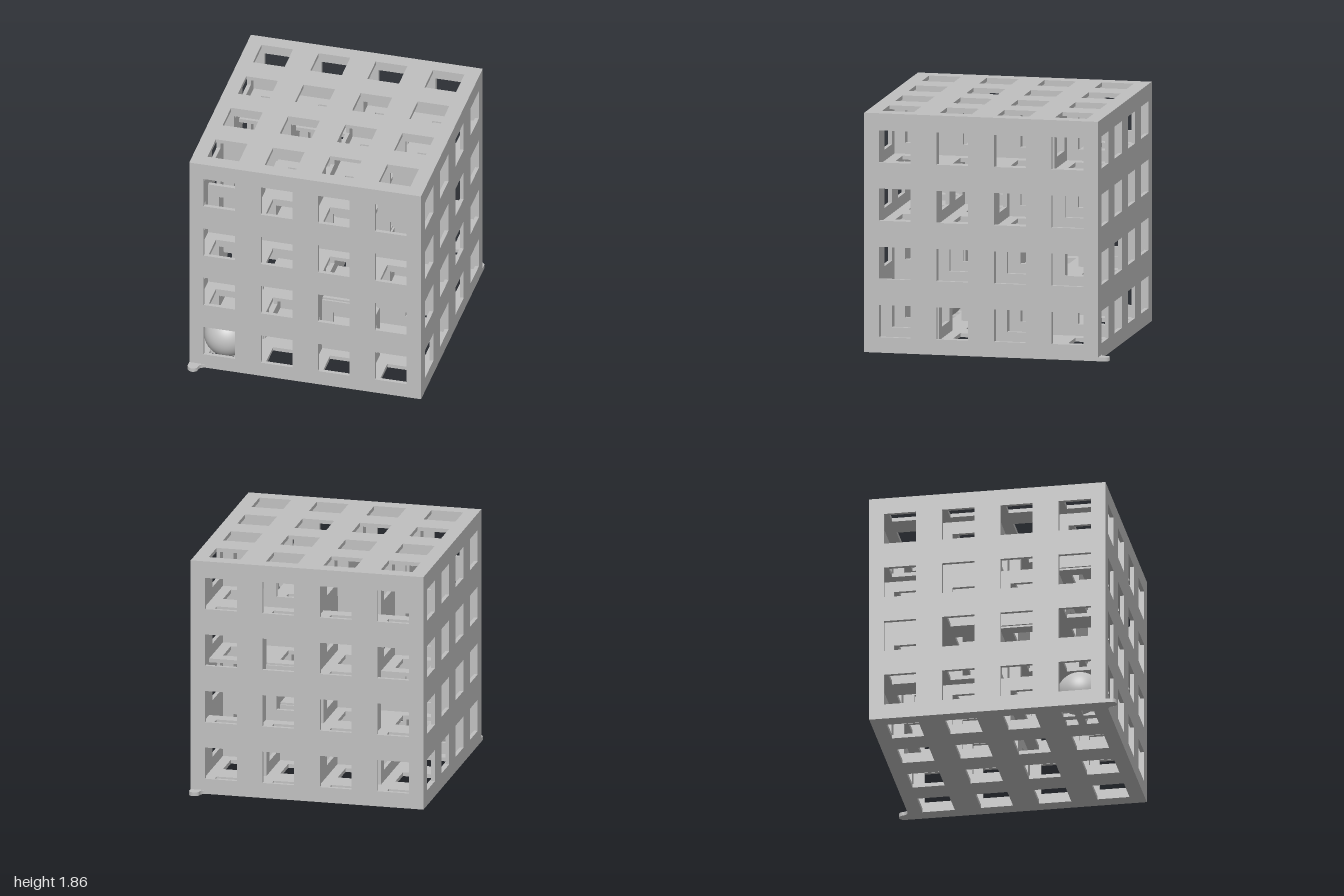
import * as THREE from 'three';

const N = 4, PITCH = 0.4525, HOLE = 0.25, T = 0.03, HALF = 0.918, TOP = 1.86;
const MID_Y = 0.924; // height of the middle of the cell lattice
const centre = i => (i - (N - 1) / 2) * PITCH;

// Flat panel in XY, centred in thickness, with square windows
function panel(w, h, holes) {
  const rect = (P, x, y, a, b) => {
    const p = new P();
    p.moveTo(x - a / 2, y - b / 2).lineTo(x + a / 2, y - b / 2);
    p.lineTo(x + a / 2, y + b / 2).lineTo(x - a / 2, y + b / 2).closePath();
    return p;
  };
  const s = rect(THREE.Shape, 0, 0, w, h);
  for (const [x, y] of holes) s.holes.push(rect(THREE.Path, x, y, HOLE, HOLE));
  return new THREE.ExtrudeGeometry(s, { depth: T, bevelEnabled: false }).translate(0, 0, -T / 2);
}

// Windows of a whole 4 x 4 side
function windows(dy) {
  const list = [];
  for (let i = 0; i < N; i++) for (let j = 0; j < N; j++) list.push([centre(i), centre(j) + dy]);
  return list;
}

// Seeded depth-first maze; returns the set of openings "axis,x,y,z"
function carveMaze() {
  let seed = 7;
  const rand = () => (seed = (seed * 16807) % 2147483647) / 2147483647;
  const open = new Set(), seen = new Set(['0,0,3']), stack = [[0, 0, 3]];
  while (stack.length) {
    const c = stack[stack.length - 1], next = [];
    for (let a = 0; a < 3; a++) for (const d of [-1, 1]) {
      const n = c.slice();
      n[a] += d;
      if (n[a] >= 0 && n[a] < N && !seen.has(n.join())) next.push([a, n]);
    }
    if (!next.length) { stack.pop(); continue; }
    const [a, n] = next[Math.floor(rand() * next.length)];
    open.add([a, ...(n[a] < c[a] ? n : c)].join());
    seen.add(n.join());
    stack.push(n);
  }
  return open;
}

export function createModel() {
  const model = new THREE.Group();
  const grey = new THREE.MeshStandardMaterial({ color: 0xc0c0c0 });
  grey.name = 'plain grey';
  const add = (parent, name, geo, x, y, z, rx = 0, ry = 0) => {
    const m = new THREE.Mesh(geo, grey);
    m.name = name;
    m.position.set(x, y, z);
    m.rotation.set(rx, ry, 0);
    parent.add(m);
    return m;
  };

  // Outer shell
  const dy = MID_Y - TOP / 2, inner = 2 * (HALF - T), e = HALF - T / 2;
  const wide = panel(2 * HALF, TOP, windows(dy));
  const side = panel(inner, TOP, windows(dy));
  const flat = panel(inner, inner, windows(0));
  add(model, 'frontWall', wide, 0, TOP / 2, e);
  add(model, 'backWall', wide, 0, TOP / 2, -e);
  add(model, 'leftWall', side, e, TOP / 2, 0, 0, Math.PI / 2);
  add(model, 'rightWall', side, -e, TOP / 2, 0, 0, Math.PI / 2);
  add(model, 'floor', flat, 0, T / 2, 0, Math.PI / 2);
  add(model, 'roof', flat, 0, TOP - T / 2, 0, Math.PI / 2);

  // Inner maze partitions, each with its own window
  const maze = new THREE.Group();
  maze.name = 'mazePartitions';
  model.add(maze);
  const cell = panel(PITCH, PITCH, [[0, 0]]);
  const open = carveMaze();
  const turns = [[0, Math.PI / 2], [Math.PI / 2, 0], [0, 0]];
  for (let a = 0; a < 3; a++)
    for (let x = 0; x < N; x++) for (let y = 0; y < N; y++) for (let z = 0; z < N; z++) {
      const c = [x, y, z];
      if (c[a] === N - 1 || open.has([a, ...c].join())) continue;
      const p = c.map(centre);
      p[a] += PITCH / 2;
      add(maze, 'partition', cell, p[0], p[1] + MID_Y, p[2], ...turns[a]);
    }

  // Ball and the cross that holds it in its floor window
  const bx = centre(0), bz = centre(N - 1);
  add(model, 'ball', new THREE.SphereGeometry(0.18, 48, 32), bx, 0.186, bz);
  add(model, 'ballSupport', new THREE.BoxGeometry(HOLE, T, 0.06), bx, T / 2, bz);
  for (const s of [-1, 1])
    add(model, 'ballSupport', new THREE.BoxGeometry(0.06, T, 0.095), bx, T / 2, bz + s * 0.0775);

  // Rounded tabs on two opposite bottom corners
  const t = new THREE.Shape();
  t.moveTo(-HALF, 0.9).lineTo(-HALF, 0.959);
  t.absarc(-0.877, 0.959, 0.041, Math.PI, 0, true);
  t.quadraticCurveTo(-0.83, 0.92, -0.78, HALF);
  t.lineTo(-0.78, 0.9).closePath();
  const tab = new THREE.ExtrudeGeometry(t, { depth: T, bevelEnabled: false, curveSegments: 16 });
  tab.rotateX(Math.PI / 2).translate(0, T, 0);
  add(model, 'frontTab', tab, 0, 0, 0);
  add(model, 'backTab', tab, 0, 0, 0, 0, Math.PI);

  return model;
}
